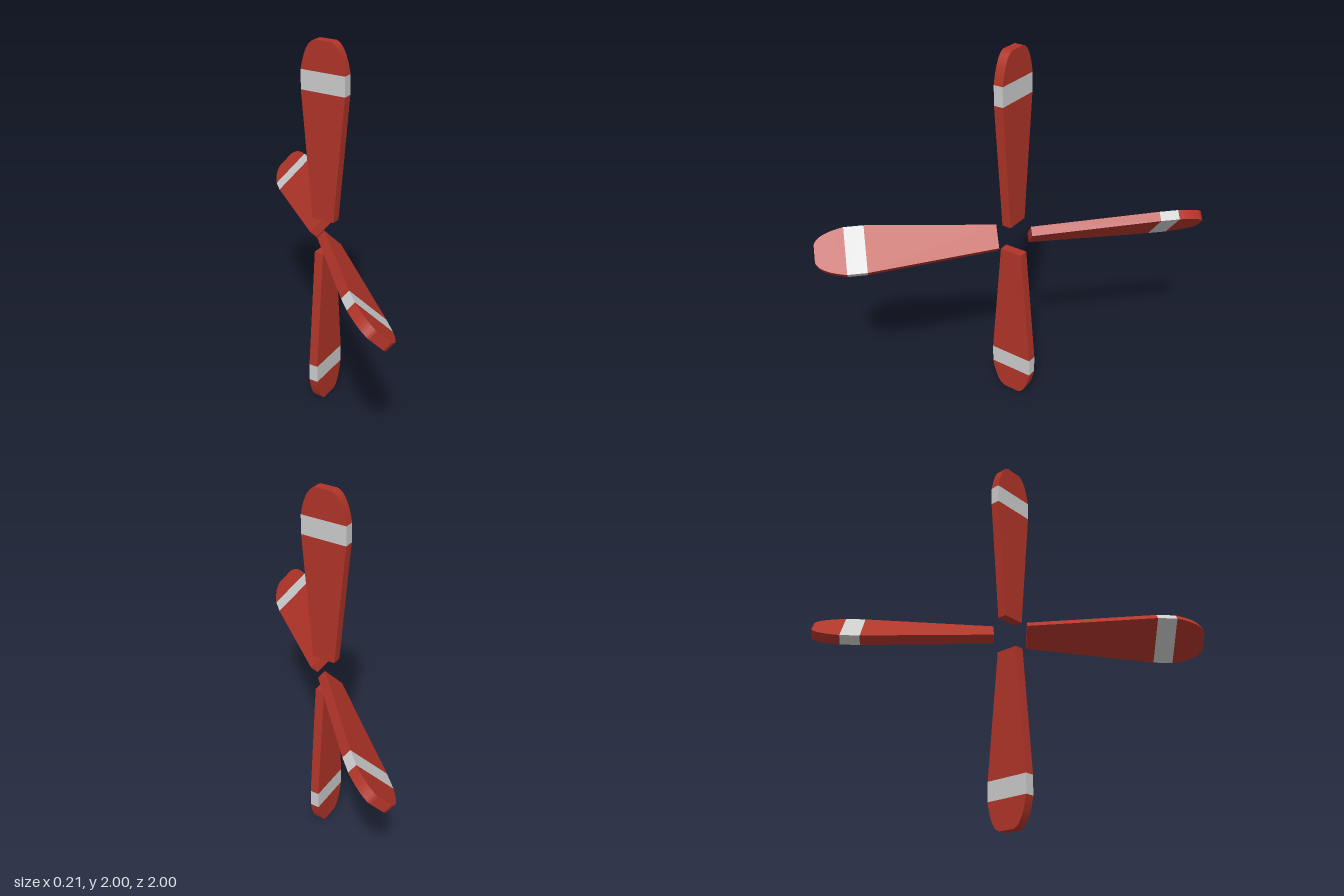
import * as THREE from 'three';

const THICKNESS = 0.05;
const ROOT = 0.085, BAND_START = 0.75, BAND_END = 0.85, TIP = 1;
const ROOT_HALF = 0.0625, WIDE_HALF = 0.1225, TIP_HALF = 0.045;

// Extrudes a flat outline, centred on its thickness
function slab(name, shape, material) {
  const geometry = new THREE.ExtrudeGeometry(shape, {
    depth: THICKNESS, bevelEnabled: false, curveSegments: 10,
  });
  geometry.translate(0, 0, -THICKNESS / 2);
  const mesh = new THREE.Mesh(geometry, material);
  mesh.name = name;
  return mesh;
}

// Symmetric four-sided outline between two radii
function taper(y0, half0, y1, half1) {
  return new THREE.Shape([
    new THREE.Vector2(-half0, y0), new THREE.Vector2(half0, y0),
    new THREE.Vector2(half1, y1), new THREE.Vector2(-half1, y1),
  ]);
}

function createBlade(red, pale) {
  const blade = new THREE.Group();

  // Tapered main section, then the straight stripe
  blade.add(slab('bladeBody', taper(ROOT, ROOT_HALF, BAND_START, WIDE_HALF), red));
  blade.add(slab('bladeStripe', taper(BAND_START, WIDE_HALF, BAND_END, WIDE_HALF), pale));

  // Rounded tip with a short flat end
  const tip = new THREE.Shape();
  tip.moveTo(-WIDE_HALF, BAND_END);
  tip.lineTo(WIDE_HALF, BAND_END);
  tip.quadraticCurveTo(0.098, 0.985, TIP_HALF, TIP);
  tip.lineTo(-TIP_HALF, TIP);
  tip.quadraticCurveTo(-0.098, 0.985, -WIDE_HALF, BAND_END);
  blade.add(slab('bladeTip', tip, red));

  // Pitch of the blade
  blade.rotation.y = -Math.PI / 4;
  return blade;
}

export function createModel() {
  const model = new THREE.Group();
  model.name = 'propeller';
  const red = new THREE.MeshStandardMaterial({ color: 0xb03428 });
  const pale = new THREE.MeshStandardMaterial({ color: 0xdddadd });

  // Four pitched blades around the x axis
  for (let i = 0; i < 4; i++) {
    const arm = new THREE.Group();
    arm.name = `blade${i + 1}`;
    arm.add(createBlade(red, pale));
    arm.rotation.x = i * Math.PI / 2;
    arm.position.y = 1;
    model.add(arm);
  }
  return model;
}
